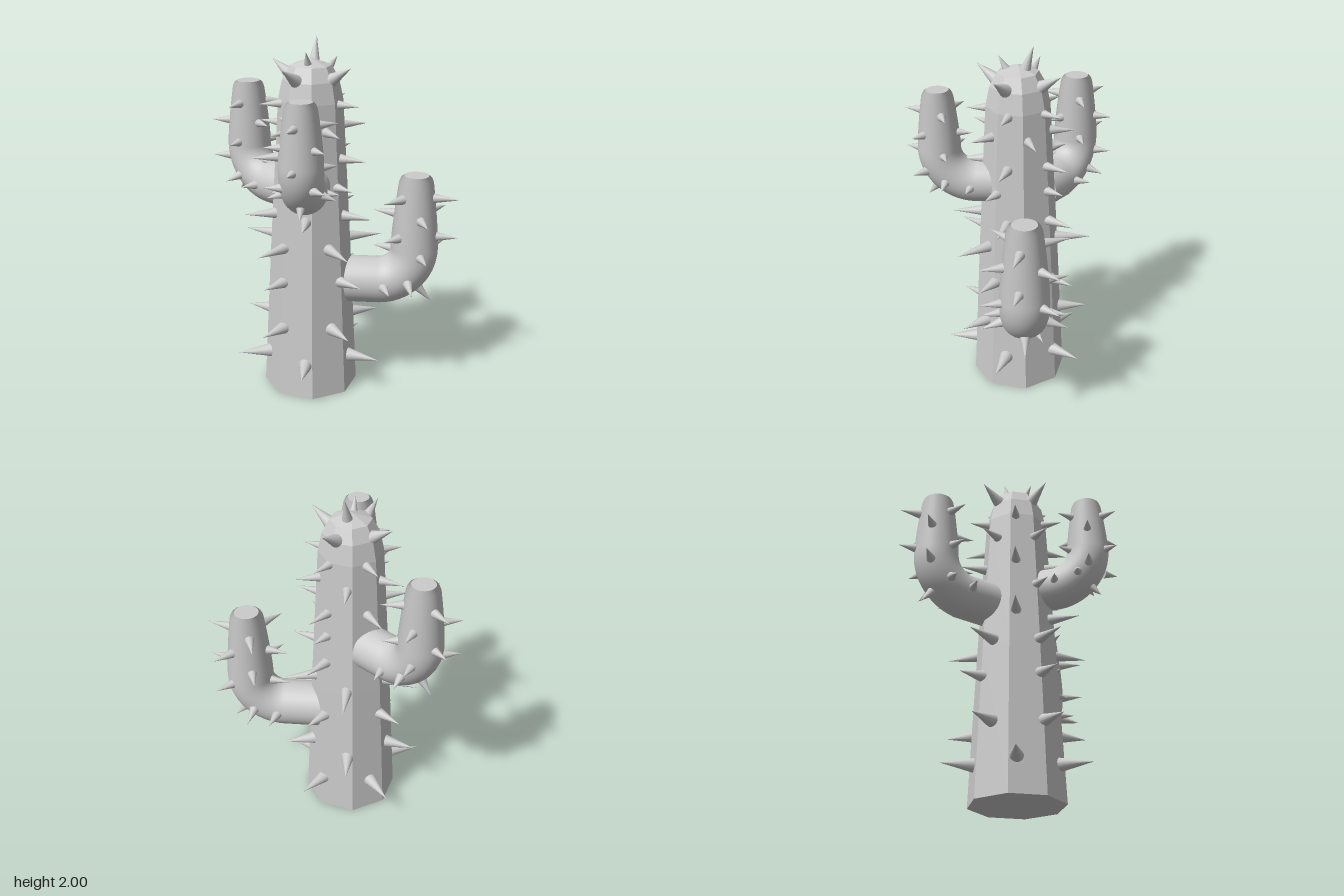
import * as THREE from 'three';

const V = (x, y, z) => new THREE.Vector3(x, y, z);
const smooth = new THREE.MeshStandardMaterial({ color: 0xcccccc });
const faceted = new THREE.MeshStandardMaterial({ color: 0xcccccc, flatShading: true });

// Cone from a base point to a tip point
function addSpine(group, base, tip, radius) {
  const dir = tip.clone().sub(base);
  const length = dir.length();
  const spine = new THREE.Mesh(new THREE.ConeGeometry(radius, length, 14), smooth);
  spine.name = 'spine';
  spine.quaternion.setFromUnitVectors(V(0, 1, 0), dir.normalize());
  spine.position.copy(base).addScaledVector(dir, length / 2);
  group.add(spine);
}

// Arm: horizontal stub, round elbow, tapering upright with a flat rounded tip
function createArm(name, start, upX, upZ, top, radius, reach) {
  const arm = new THREE.Group();
  arm.name = name;
  const out = V(upX - start.x, 0, upZ - start.z).normalize();
  const R = 0.2, k = 0.45 * R;
  const corner = V(upX, start.y, upZ);
  const a = corner.clone().addScaledVector(out, -R);
  const b = V(upX, start.y + R, upZ);
  const path = new THREE.CurvePath();
  path.add(new THREE.LineCurve3(start, a));
  path.add(new THREE.CubicBezierCurve3(a, corner.clone().addScaledVector(out, -k), V(upX, start.y + k, upZ), b));
  path.add(new THREE.LineCurve3(b, V(upX, top, upZ)));

  const taper = (y) => {
    const u = Math.max(0, (y - b.y) / (top - b.y));
    const d = Math.min(1, (top - y) / 0.045);
    return (1 - 0.32 * Math.pow(u, 1.4)) * (0.76 + 0.24 * Math.sqrt(Math.max(0, 1 - (1 - d) ** 2)));
  };
  const steps = 80, sides = 32;
  const geo = new THREE.TubeGeometry(path, steps, radius, sides, false);
  const pos = geo.attributes.position, v = V(0, 0, 0);
  for (let i = 0; i <= steps; i++) {
    const c = path.getPointAt(i / steps);
    for (let j = 0; j <= sides; j++) {
      const n = i * (sides + 1) + j;
      v.fromBufferAttribute(pos, n).sub(c).multiplyScalar(taper(c.y)).add(c);
      pos.setXYZ(n, v.x, v.y, v.z);
    }
  }
  const stem = new THREE.Mesh(geo, smooth);
  stem.name = 'armStem';
  arm.add(stem);

  // Caps on both ends
  const cap = new THREE.Mesh(new THREE.CircleGeometry(radius * taper(top), sides), smooth);
  cap.name = 'armTip';
  cap.rotation.x = -Math.PI / 2;
  cap.position.set(upX, top, upZ);
  const root = new THREE.Mesh(new THREE.CircleGeometry(radius, sides), smooth);
  root.name = 'armRoot';
  root.position.copy(start);
  root.quaternion.setFromUnitVectors(V(0, 0, 1), out.clone().negate());
  arm.add(cap, root);

  // Staggered rings of three spines on the upright
  const heading = Math.atan2(out.z, out.x);
  [0.12, 0.23, 0.34, 0.44].forEach((drop, row) => {
    const y = top - drop, r = radius * taper(y) * 0.85;
    for (let i = 0; i < 3; i++) {
      const t = heading + (i * 2 + (row % 2)) * Math.PI / 3 + 0.25;
      const c = Math.cos(t), s = Math.sin(t);
      addSpine(arm, V(upX + c * r, y, upZ + s * r), V(upX + c * reach, y + 0.005, upZ + s * reach), radius * 0.22);
    }
  });
  // Spines on the outside of the elbow and the sides of the stub
  const mid = path.curves[1].getPoint(0.5);
  const side = V(-out.z, 0, out.x);
  const down = out.clone().add(V(0, -1.1, 0)).normalize();
  const elbow = (p, d) => addSpine(arm, p.clone().addScaledVector(d, radius * 0.85),
    p.clone().addScaledVector(d, reach), radius * 0.24);
  elbow(mid, down);
  for (const s of [-1, 1]) {
    elbow(mid, side.clone().multiplyScalar(s).addScaledVector(down, 0.35).normalize());
    elbow(a, side.clone().multiplyScalar(s).addScaledVector(out, 0.3).normalize());
  }
  return arm;
}

export function createModel() {
  const model = new THREE.Group();
  model.name = 'cactus';
  const cx = -0.045, cz = 0.02;

  // Eight-sided trunk with a faceted crown
  const profile = [[0, 0], [0.265, 0], [0.222, 0.85], [0.175, 1.67], [0.152, 1.78], [0.112, 1.855], [0, 1.895]]
    .map(([r, y]) => new THREE.Vector2(r, y));
  const trunk = new THREE.Mesh(new THREE.LatheGeometry(profile, 8), faceted);
  trunk.name = 'trunk';
  trunk.position.set(cx, 0, cz);
  model.add(trunk);

  // Trunk spine rings: height, count, turn in degrees, tip radius, rise
  const spines = new THREE.Group();
  spines.name = 'trunkSpines';
  const rings = [
    [0.2, 5, 0, 0.42, 0], [0.405, 5, 34, 0.4, 0], [0.675, 4, 0, 0.37, 0], [0.875, 5, 36, 0.41, 0],
    [1.04, 5, 0, 0.37, 0], [1.215, 4, 0, 0.3, 0], [1.36, 5, 0, 0.33, 0], [1.525, 5, 36, 0.31, 0],
    [1.655, 5, 0, 0.28, 0], [1.79, 4, -8, 0.255, 0.075],
  ];
  for (const [y, count, turn, tip, rise] of rings) {
    const base = (0.265 - 0.055 * y) * (rise ? 0.8 : 0.88);
    for (let i = 0; i < count; i++) {
      const t = THREE.MathUtils.degToRad(turn + i * 360 / count);
      const c = Math.cos(t), s = Math.sin(t);
      addSpine(spines, V(cx + c * base, y, cz + s * base), V(cx + c * tip, y + rise, cz + s * tip),
        rise ? 0.036 : 0.043 - 0.01 * y);
    }
  }
  // Crown spines
  addSpine(spines, V(-0.008, 1.86, 0.01), V(0.035, 2, -0.01), 0.032);
  addSpine(spines, V(-0.09, 1.85, 0.045), V(-0.135, 1.94, 0.07), 0.026);
  model.add(spines);

  model.add(
    createArm('frontArm', V(0.07, 0.632, 0.13), 0.325, 0.465, 1.255, 0.132, 0.245),
    createArm('sideArm', V(-0.13, 1.23, 0.09), -0.387, 0.275, 1.755, 0.117, 0.19),
    createArm('backArm', V(-0.017, 1.132, -0.13), -0.015, -0.495, 1.695, 0.123, 0.215),
  );
  return model;
}
